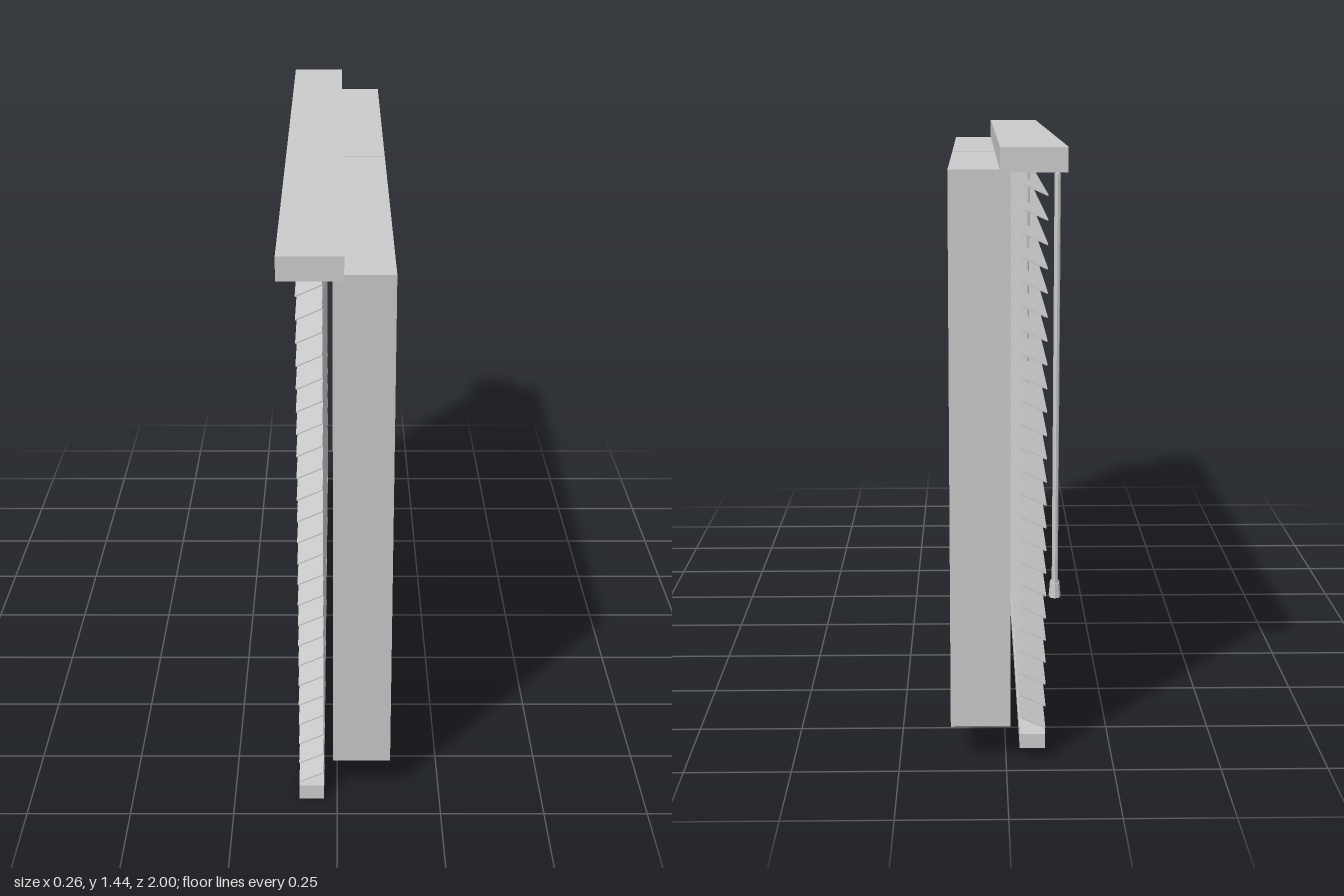
import * as THREE from 'three';

const grey = new THREE.MeshStandardMaterial({ color: 0xcccccc, flatShading: true });

// Prism whose outline is given as [z, y] corners, running from x0 to x1, with an optional hole
function prism(name, x0, x1, outline, hole) {
  const toPoints = (list) => list.map(([z, y]) => new THREE.Vector2(-z, y));
  const shape = new THREE.Shape(toPoints(outline));
  if (hole) shape.holes.push(new THREE.Path(toPoints(hole)));
  const geo = new THREE.ExtrudeGeometry(shape, { depth: x1 - x0, bevelEnabled: false });
  geo.rotateY(Math.PI / 2).translate(x0, 0, 0);
  const mesh = new THREE.Mesh(geo, grey);
  mesh.name = name;
  return mesh;
}

// Thin cylinder between two points
function rod(name, a, b, r0, r1 = r0, sides = 8) {
  const dir = b.clone().sub(a);
  const mesh = new THREE.Mesh(new THREE.CylinderGeometry(r1, r0, dir.length(), sides), grey);
  mesh.position.copy(a).add(b).multiplyScalar(0.5);
  mesh.quaternion.setFromUnitVectors(new THREE.Vector3(0, 1, 0), dir.normalize());
  mesh.name = name;
  return mesh;
}

export function createModel() {
  const group = new THREE.Group();

  // Two window frames, slightly askew, with a narrow gap between them
  group.add(prism('wideFrame', -0.01, 0.13,
    [[0.957, 1.346], [0.9, 0.085], [-0.071, 0.085], [-0.071, 1.367]],
    [[0.895, 1.344], [0.837, 0.138], [-0.006, 0.138], [-0.006, 1.344]]));
  group.add(prism('narrowFrame', -0.01, 0.13,
    [[-0.079, 1.367], [-0.079, 0.085], [-0.943, 0.085], [-0.947, 1.387]],
    [[-0.144, 1.344], [-0.144, 0.138], [-0.88, 0.138], [-0.88, 1.344]]));

  // Sloping head rail and bottom rail of the blind
  group.add(prism('headRail', -0.133, 0.015,
    [[1, 1.345], [-1, 1.385], [-1, 1.44], [1, 1.4]]));
  group.add(prism('bottomRail', -0.092, -0.032,
    [[0.937, 0], [-0.943, 0.03], [-0.943, 0.066], [0.937, 0.038]]));

  // Tilted slats, a little longer towards the top
  const slats = new THREE.Group();
  slats.name = 'slats';
  const count = 24;
  for (let i = 0; i < count; i++) {
    const t = i / (count - 1);
    const zFront = 0.938 + 0.024 * t, zBack = -0.943 - 0.012 * t;
    const slat = new THREE.Mesh(new THREE.BoxGeometry(0.065, 0.003, zFront - zBack), grey);
    slat.name = 'slat';
    slat.position.set(-0.062, 0.078 + 1.25 * t, (zFront + zBack) / 2);
    slat.rotation.set(0.017, 0, 0.42);
    slats.add(slat);
  }
  group.add(slats);

  // Cords threaded through the slats
  for (const [top, bottom] of [[0.685, 0.668], [-0.682, -0.667]]) {
    group.add(rod('ladderCord', new THREE.Vector3(-0.055, 0.04, bottom),
      new THREE.Vector3(-0.055, 1.36, top), 0.004));
  }

  // Pair of hanging pull cords with tapered ends
  for (const dz of [0, -0.016]) {
    const top = new THREE.Vector3(-0.118, 1.37, -0.827 + dz);
    const end = new THREE.Vector3(-0.118, 0.4, -0.812 + dz);
    const tip = new THREE.Vector3(-0.118, 0.365, -0.811 + dz);
    group.add(rod('pullCord', end, top, 0.007));
    group.add(rod('pullCordEnd', tip, end, 0.014, 0.011));
  }

  return group;
}
